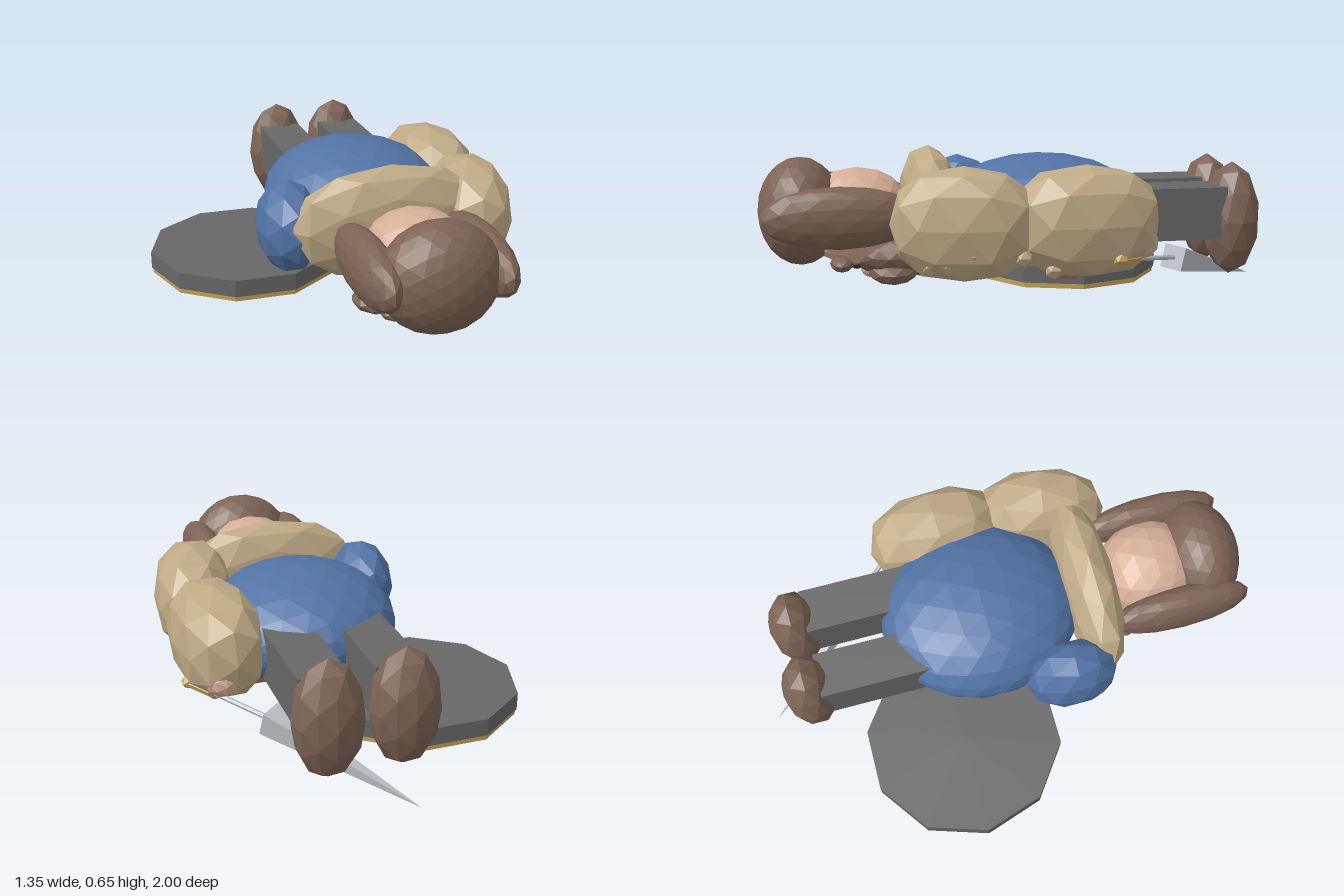
import * as THREE from 'three';

const mat = color => new THREE.MeshStandardMaterial({ color, flatShading: true });
const BROWN = mat(0x7d6355), TAN = mat(0xc0aa86), BLUE = mat(0x5273a5), DARK = mat(0x676767),
  BLACK = mat(0x3a3633), GOLD = mat(0xc0a258), STEEL = mat(0xb8bfc5), SKIN = mat(0xd6ae99), LEATHER = mat(0x855d4a);

const CX = 0.145; // body centre line

export function createModel() {
  const model = new THREE.Group();
  model.name = 'lyingWarrior';

  const add = (name, geo, material, x, y, z) => {
    const m = new THREE.Mesh(geo, material);
    m.name = name;
    m.position.set(x, y, z);
    model.add(m);
    return m;
  };
  // Faceted ellipsoid: centre, radii, subdivision; power below 1 makes it boxier
  const blob = (name, material, [x, y, z], [rx, ry, rz], detail = 2, power = 1) => {
    const geo = new THREE.IcosahedronGeometry(1, detail);
    const p = geo.attributes.position;
    const bulge = v => Math.sign(v) * Math.abs(v) ** power;
    for (let i = 0; i < p.count; i++) p.setXYZ(i, rx * bulge(p.getX(i)), ry * bulge(p.getY(i)), rz * bulge(p.getZ(i)));
    geo.computeVertexNormals();
    return add(name, geo, material, x, y, z);
  };
  const box = (name, material, [x, y, z], [w, h, d]) =>
    add(name, new THREE.BoxGeometry(w, h, d), material, x, y, z);
  // Tapered rod between two points
  const rod = (name, material, a, b, r0, r1, sides) => {
    const p = new THREE.Vector3(...a), q = new THREE.Vector3(...b);
    const dir = q.clone().sub(p);
    const m = add(name, new THREE.CylinderGeometry(r1, r0, dir.length(), sides), material,
      ...p.clone().add(q).multiplyScalar(0.5).toArray());
    m.quaternion.setFromUnitVectors(new THREE.Vector3(0, 1, 0), dir.normalize());
  };

  // Torso, sleeve and fur mantle
  blob('tunic', BLUE, [CX, 0.395, -0.085], [0.365, 0.215, 0.4], 3);
  blob('rightSleeve', BLUE, [-0.21, 0.39, 0.2], [0.125, 0.18, 0.185], 1);
  blob('furCollar', TAN, [CX, 0.425, 0.355], [0.39, 0.225, 0.113], 1, 0.95);
  blob('leftShoulder', TAN, [0.495, 0.405, 0.265], [0.16, 0.208, 0.265], 1, 0.85).rotation.y = -0.17;
  blob('leftForearm', TAN, [0.508, 0.405, -0.175], [0.165, 0.205, 0.278], 1, 0.82).rotation.y = 0.06;

  // Fur spikes under the left arm
  const spikes = [[0.55, 0.27, 0.39], [0.58, 0.275, 0.33], [0.57, 0.26, 0.29], [0.61, 0.315, 0.24],
    [0.6, 0.3, 0.07], [0.59, 0.25, -0.04]];
  spikes.forEach(p => blob('furSpike', TAN, p, [0.036, 0.036, 0.034], 0));

  // Head with face, hair and mirrored side locks
  blob('face', SKIN, [CX, 0.385, 0.625], [0.19, 0.185, 0.2], 2, 0.9);
  blob('hair', BROWN, [CX, 0.412, 0.837], [0.22, 0.203, 0.158], 3);
  blob('beard', BROWN, [CX, 0.25, 0.48], [0.19, 0.095, 0.19], 2);
  blob('beardTip', BROWN, [CX, 0.205, 0.38], [0.11, 0.06, 0.11], 1);
  blob('nose', SKIN, [CX, 0.182, 0.57], [0.04, 0.04, 0.05], 1);
  for (const s of [-1, 1]) {
    blob('sideLock', BROWN, [CX + s * 0.208, 0.415, 0.695], [0.076, 0.115, 0.285], 2, 0.95);
    blob('moustache', BROWN, [CX + s * 0.09, 0.187, 0.5], [0.105, 0.05, 0.095], 1);
    blob('eyebrow', BROWN, [CX + s * 0.085, 0.222, 0.69], [0.07, 0.032, 0.045], 1);
    blob('eye', BLACK, [CX + s * 0.07, 0.215, 0.635], [0.023, 0.02, 0.023], 1);
  }

  // Legs and boots
  for (const s of [-1, 1]) {
    box('leg', DARK, [CX + s * 0.137, 0.39, -0.49], [0.178, 0.2, 0.55]);
    blob('boot', BROWN, [CX + s * 0.137, 0.355, -0.814], [0.13, 0.222, 0.108], 1);
  }

  // Belt, buckle and chest ornaments
  box('belt', LEATHER, [CX, 0.207, -0.122], [0.59, 0.06, 0.08]);
  box('buckle', GOLD, [CX, 0.18, -0.122], [0.1, 0.032, 0.065]);
  blob('beardClasp', GOLD, [CX, 0.162, 0.3], [0.055, 0.022, 0.06], 1);
  for (const z of [0.24, 0.17, 0.1]) box('chestStripe', GOLD, [CX, 0.176, z], [0.12, 0.015, 0.032]);

  // Hand and sword
  blob('leftHand', SKIN, [0.53, 0.325, -0.37], [0.07, 0.062, 0.07], 1);
  const pommel = [0.635, 0.285, -0.27], grip = [0.57, 0.273, -0.35], guard = [0.41, 0.235, -0.54], tip = [0.02, 0.07, -1.0];
  blob('pommel', GOLD, pommel, [0.03, 0.026, 0.03], 0);
  rod('hilt', GOLD, pommel, grip, 0.02, 0.02, 6);
  rod('swordShaft', STEEL, grip, guard, 0.01, 0.01, 6);
  rod('blade', STEEL, guard, tip, 0.064, 0.0005, 4);

  // Ten-sided shield, lying face down
  const sx = -0.28, sz = -0.27, turn = Math.PI / 10;
  add('shieldBack', new THREE.CylinderGeometry(0.398, 0.398, 0.07, 10), DARK, sx, 0.105, sz).rotation.y = turn;
  const decagon = (Type, r) => {
    const shape = new Type();
    for (let i = 0; i < 10; i++) {
      const a = i * Math.PI / 5;
      shape[i ? 'lineTo' : 'moveTo'](r * Math.cos(a), r * Math.sin(a));
    }
    shape.closePath();
    return shape;
  };
  const ring = (outer, inner, depth) => {
    const shape = decagon(THREE.Shape, outer);
    shape.holes.push(decagon(THREE.Path, inner));
    return new THREE.ExtrudeGeometry(shape, { depth, bevelEnabled: false }).rotateX(-Math.PI / 2);
  };
  add('shieldRim', ring(0.392, 0.365, 0.022), GOLD, sx, 0.049, sz);
  add('shieldInnerRim', ring(0.365, 0.33, 0.014), GOLD, sx, 0.058, sz);
  add('shieldFace', new THREE.CylinderGeometry(0.335, 0.335, 0.012, 10), BLACK, sx, 0.068, sz).rotation.y = turn;

  // Three-bar emblem around the boss
  const corners = [[0, 0.14], [0.14, 0], [0, -0.14], [-0.14, 0]].map(([x, z]) => [sx + x, 0.04, sz + z]);
  for (let i = 0; i < 3; i++) rod('shieldBar', STEEL, corners[i], corners[i + 1], 0.014, 0.014, 6);
  add('shieldBossBase', new THREE.CylinderGeometry(0.04, 0.04, 0.035, 8), GOLD, sx, 0.05, sz);
  blob('shieldBoss', GOLD, [sx, 0.035, sz], [0.075, 0.035, 0.075], 1);

  return model;
}
